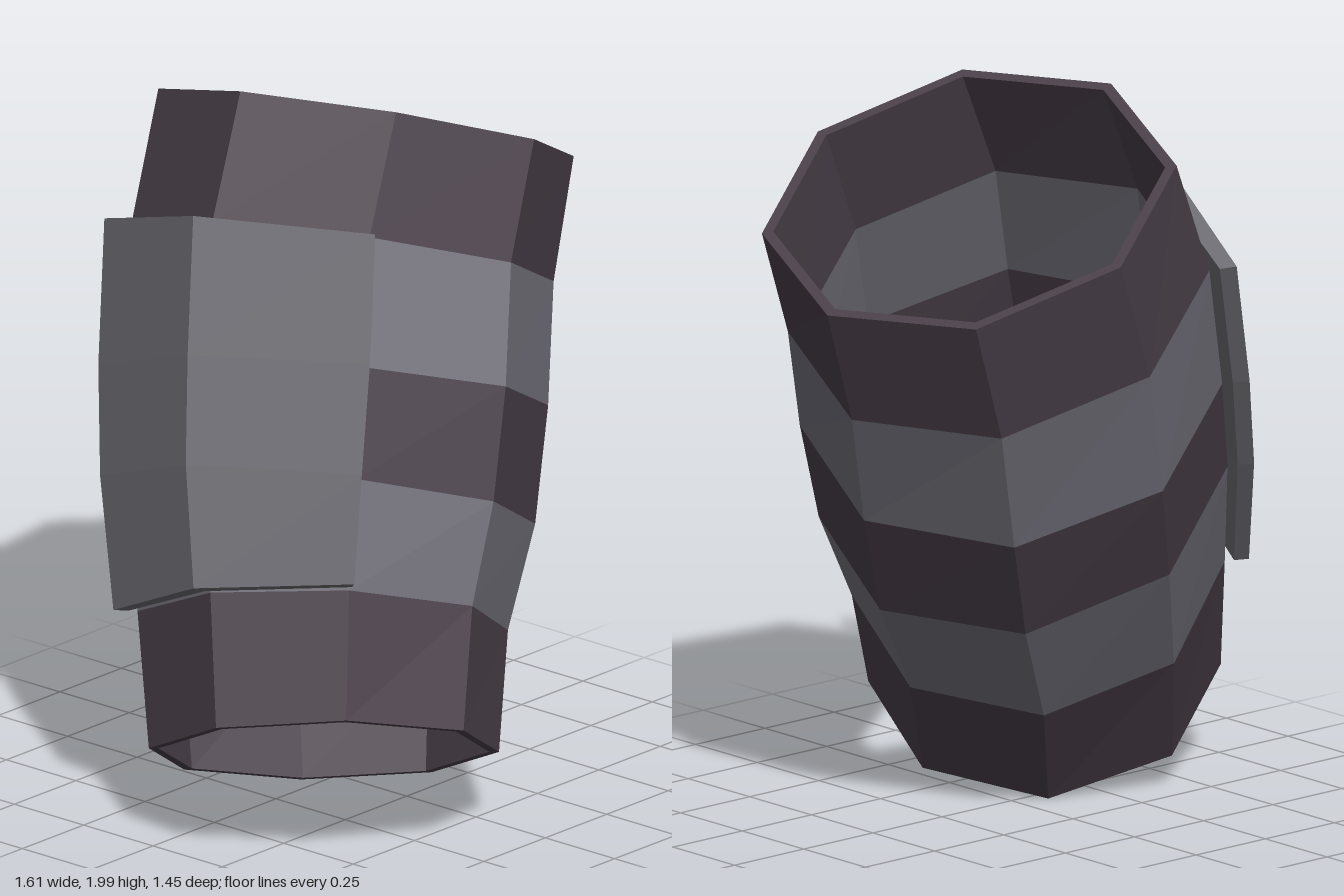
import * as THREE from 'three';

// Octagonal cross-sections from bottom to top: centre and two perpendicular radii.
const RINGS = [
  { c: [-0.365, 0.245, 0.275], a: [0.055, 0.15, 0.455], b: [0.445, -0.185, -0.005] },
  { c: [-0.24, 0.555, 0.16], a: [0.05, 0.147, 0.495], b: [0.48, -0.215, -0.02] },
  { c: [-0.105, 0.84, 0.07], a: [0.03, 0.125, 0.56], b: [0.525, -0.235, -0.01] },
  { c: [0.01, 1.12, -0.01], a: [0.03, 0.13, 0.582], b: [0.54, -0.225, -0.01] },
  { c: [0.135, 1.45, -0.1], a: [0.03, 0.1, 0.58], b: [0.535, -0.235, -0.005] },
  { c: [0.283, 1.77, -0.147], a: [0.035, 0.08, 0.575], b: [0.517, -0.23, -0.005] },
];
const SIDES = 8;
const INNER = 0.945;

// Point on a ring at the given corner, scaled out from the ring centre
function corner(ring, k, scale) {
  const { c, a, b } = RINGS[ring];
  const t = (k / SIDES) * Math.PI * 2;
  return c.map((v, i) => v + scale * (a[i] * Math.cos(t) + b[i] * Math.sin(t)));
}

function quadMesh(name, quads, material) {
  const pos = [];
  for (const [p, q, r, s] of quads) pos.push(...p, ...q, ...r, ...p, ...r, ...s);
  const geo = new THREE.BufferGeometry();
  geo.setAttribute('position', new THREE.Float32BufferAttribute(pos, 3));
  geo.computeVertexNormals();
  const mesh = new THREE.Mesh(geo, material);
  mesh.name = name;
  return mesh;
}

// One hollow band between two neighbouring rings, with a rim at the open ends
function band(i, material) {
  const quads = [];
  for (let k = 0; k < SIDES; k++) {
    const n = k + 1;
    const P = corner;
    quads.push([P(i, k, 1), P(i, n, 1), P(i + 1, n, 1), P(i + 1, k, 1)]);
    quads.push([P(i, n, INNER), P(i, k, INNER), P(i + 1, k, INNER), P(i + 1, n, INNER)]);
    if (i === 0) quads.push([P(0, n, 1), P(0, k, 1), P(0, k, INNER), P(0, n, INNER)]);
    if (i === RINGS.length - 2) quads.push([P(i + 1, k, 1), P(i + 1, n, 1), P(i + 1, n, INNER), P(i + 1, k, INNER)]);
  }
  return quadMesh('band' + (i + 1), quads, material);
}

// Thick curved plate wrapped over two sides of the sleeve
function sidePlate(material) {
  const loop = [[5, 1.13], [6, 1.15], [7, 1.2], [7, 1.11], [6, 1.05], [5, 1.05]];
  const first = 1, last = 4;
  const section = (r) => loop.map(([k, s]) => corner(r, k, s));
  const quads = [];
  for (let r = first; r < last; r++) {
    const lo = section(r), hi = section(r + 1);
    for (let j = 0; j < loop.length; j++) {
      const n = (j + 1) % loop.length;
      quads.push([lo[j], lo[n], hi[n], hi[j]]);
    }
  }
  // End faces
  const lo = section(first), hi = section(last);
  for (let j = 0; j < 2; j++) {
    quads.push([hi[j], hi[j + 1], hi[4 - j], hi[5 - j]]);
    quads.push([lo[j + 1], lo[j], lo[5 - j], lo[4 - j]]);
  }
  return quadMesh('sidePlate', quads, material);
}

export function createModel() {
  const make = (name, color) => {
    const m = new THREE.MeshStandardMaterial({ color, flatShading: true });
    m.name = name;
    return m;
  };
  const dark = make('darkPlum', 0x493f49);
  const light = make('lightGrey', 0x72707a);
  const plate = make('plateGrey', 0x6d6d73);

  const model = new THREE.Group();
  model.name = 'bandedSleeve';
  const sleeve = new THREE.Group();
  sleeve.name = 'sleeve';
  for (let i = 0; i < RINGS.length - 1; i++) sleeve.add(band(i, i % 2 ? light : dark));
  model.add(sleeve, sidePlate(plate));
  return model;
}
